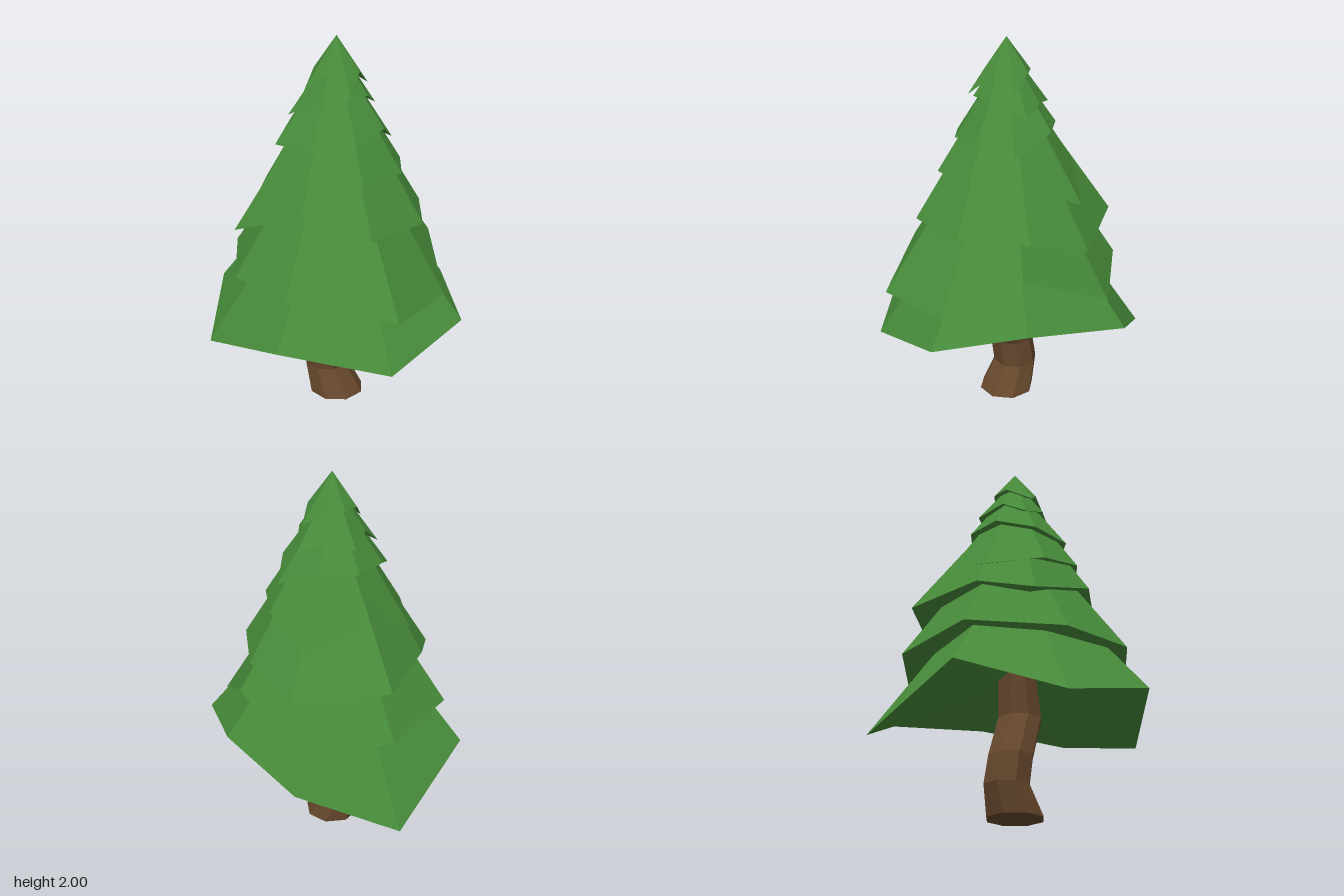
import * as THREE from 'three';

const foliageGreen = new THREE.MeshStandardMaterial({ color: 0x478b3a, flatShading: true });
foliageGreen.name = 'foliage green';
const barkBrown = new THREE.MeshStandardMaterial({ color: 0x65472c, flatShading: true });
barkBrown.name = 'bark brown';

// Each tier is a regular eight-sided cone with a few bent rim corners.
// Corners count from the left (+x) round through the front (+z).
const tiers = [
  { radius: 0.71, y: 0.575, apex: 1.46, under: 0.77,
    bent: { 1: [0.51, 0.45, 0.48], 3: [-0.52, 0.42, 0.48], 5: [-0.5, 0.35, -0.56], 7: [0.46, 0.65, -0.4] } },
  { radius: 0.61, y: 0.71, apex: 1.7, under: 0.9,
    bent: { 1: [0.52, 0.71, 0.42], 2: [0, 0.81, 0.61], 3: [-0.38, 0.8, 0.43], 4: [-0.61, 0.81, 0],
      5: [-0.43, 0.78, -0.43], 7: [0.4, 0.91, -0.34] } },
  { radius: 0.48, y: 1.08, apex: 1.85, under: 1.17,
    bent: { 2: [0, 1.18, 0.42], 3: [-0.45, 1.0, 0.3], 5: [-0.41, 1.04, -0.4], 6: [0.07, 0.99, -0.52] } },
  { radius: 0.36, y: 1.33, apex: 1.89, under: 1.4,
    bent: { 3: [-0.3, 1.24, 0.29], 4: [-0.41, 1.21, 0.01], 6: [0, 1.2, -0.44] } },
  { radius: 0.26, y: 1.55, apex: 1.92, under: 1.6,
    bent: { 1: [0.19, 1.5, 0.19], 2: [0, 1.48, 0.3], 3: [-0.24, 1.47, 0.22], 7: [0.23, 1.46, -0.19] } },
  { radius: 0.17, y: 1.71, apex: 1.96, under: 1.75,
    bent: { 3: [-0.2, 1.61, 0.15], 5: [-0.16, 1.66, -0.15], 6: [0, 1.69, -0.19], 7: [0.13, 1.63, -0.2] } },
  { radius: 0.125, y: 1.83, apex: 2, under: 1.86,
    bent: { 1: [0.14, 1.72, 0.14], 3: [-0.11, 1.74, 0.15], 7: [0.12, 1.75, -0.12] } },
];

// Eight corners of a level octagon
function octagon(x, y, z, radius) {
  return Array.from({ length: 8 }, (_, i) => {
    const t = (i * Math.PI) / 4;
    return [x + radius * Math.cos(t), y, z + radius * Math.sin(t)];
  });
}

// Flat-faced geometry from a list of triangles
function fromTriangles(triangles) {
  const geometry = new THREE.BufferGeometry();
  geometry.setAttribute('position', new THREE.Float32BufferAttribute(triangles.flat(2), 3));
  geometry.computeVertexNormals();
  return geometry;
}

// Ragged cone with a hollowed underside
function tierGeometry({ radius, y, apex, under, bent }) {
  const rim = octagon(0, y, 0, radius).map((corner, i) => bent[i] ?? corner);
  const triangles = [];
  rim.forEach((a, i) => {
    const b = rim[(i + 1) % 8];
    triangles.push([[0, apex, 0], b, a], [[0, under, 0], a, b]);
  });
  return fromTriangles(triangles);
}

// Crooked trunk: sections of [centre x, y, centre z, radius]
function trunkGeometry() {
  const sections = [
    [0, 0, 0, 0.15], [-0.07, 0.15, -0.015, 0.12], [-0.055, 0.3, 0, 0.118],
    [0.06, 0.53, 0, 0.118], [0.02, 0.8, 0, 0.1],
  ];
  const rings = sections.map((section) => octagon(...section));
  const last = rings.length - 1;
  const triangles = [];
  for (let i = 0; i < 8; i++) {
    const j = (i + 1) % 8;
    for (let s = 0; s < last; s++) {
      const low = rings[s], high = rings[s + 1];
      triangles.push([low[i], high[i], high[j]], [low[i], high[j], low[j]]);
    }
    triangles.push([sections[0].slice(0, 3), rings[0][i], rings[0][j]]);
    triangles.push([sections[last].slice(0, 3), rings[last][j], rings[last][i]]);
  }
  return fromTriangles(triangles);
}

export function createModel() {
  const tree = new THREE.Group();
  tree.name = 'pineTree';

  const trunk = new THREE.Mesh(trunkGeometry(), barkBrown);
  trunk.name = 'trunk';
  tree.add(trunk);

  // Branch tiers from bottom to top
  const foliage = new THREE.Group();
  foliage.name = 'foliage';
  tiers.forEach((tier, i) => {
    const mesh = new THREE.Mesh(tierGeometry(tier), foliageGreen);
    mesh.name = `branchTier${i + 1}`;
    foliage.add(mesh);
  });
  tree.add(foliage);
  return tree;
}
